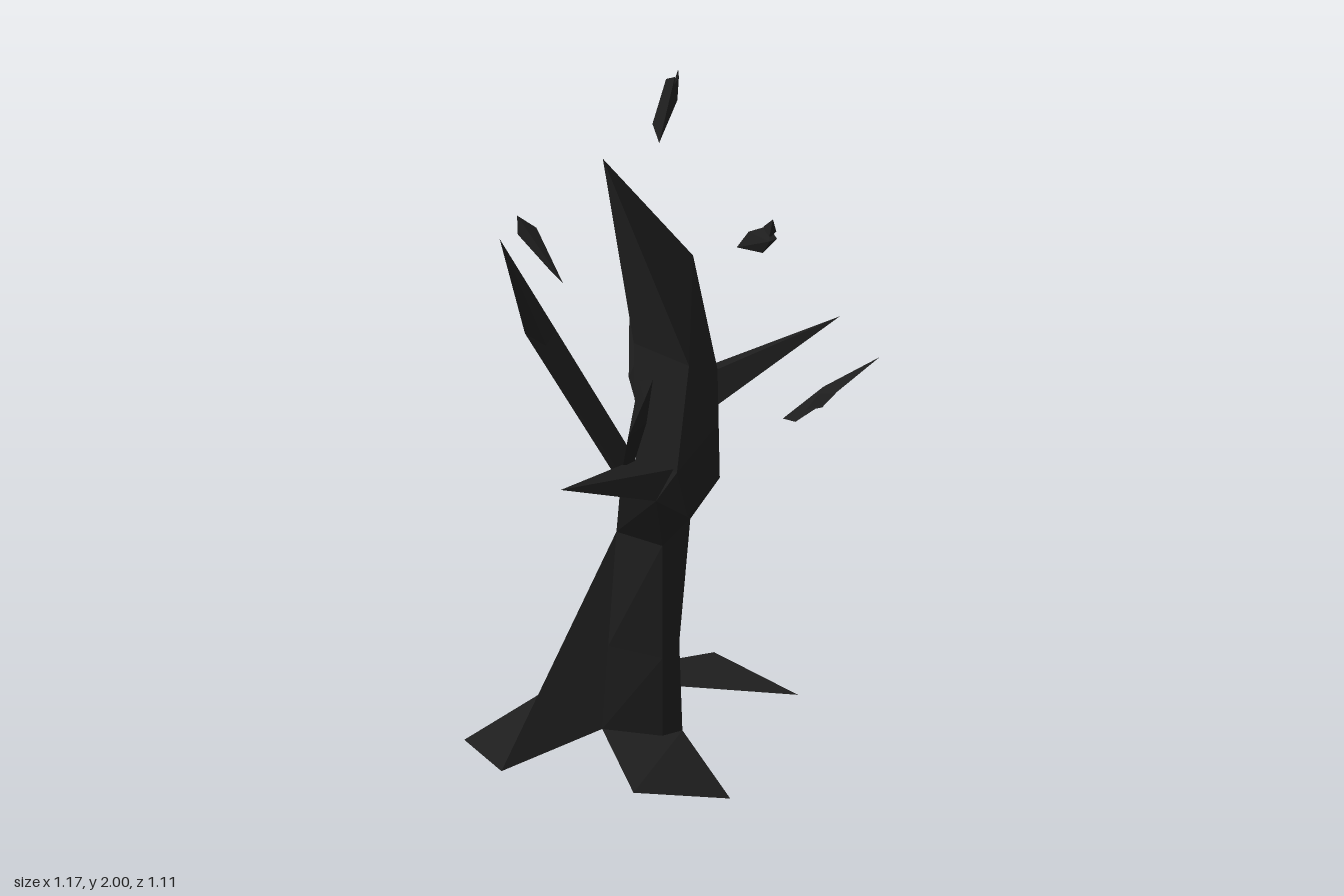
import * as THREE from 'three';
import { ConvexGeometry } from 'three/addons/geometries/ConvexGeometry.js';

const bark = new THREE.MeshStandardMaterial({ color: 0x1e1e1e, side: THREE.DoubleSide });
bark.name = 'charred bark';

const vec = (p) => new THREE.Vector3(...p);

// Faceted solid around a handful of corner points
function hull(name, ...points) {
  const mesh = new THREE.Mesh(new ConvexGeometry(points.map(vec)), bark);
  mesh.name = name;
  return mesh;
}

// Faceted surface made of fans: each face is a list of corners, outward side counter-clockwise
function facets(name, ...faces) {
  const pos = [];
  for (const f of faces) {
    for (let i = 1; i < f.length - 1; i++) pos.push(...f[0], ...f[i], ...f[i + 1]);
  }
  const geo = new THREE.BufferGeometry();
  geo.setAttribute('position', new THREE.Float32BufferAttribute(pos, 3));
  geo.computeVertexNormals();
  const mesh = new THREE.Mesh(geo, bark);
  mesh.name = name;
  return mesh;
}

// Side faces between two rings, both counter-clockwise from above
function band(lower, upper) {
  return lower.map((p, i) => {
    const j = (i + 1) % lower.length;
    return [p, lower[j], upper[j], upper[i]];
  });
}

export function createModel() {
  const tree = new THREE.Group();
  tree.name = 'deadTree';

  // Trunk rings: left, front left, front right, right, back right, back left
  const base = [
    [-0.37, 0.16, -0.10], [-0.14, 0.15, 0.135], [0.01, 0.12, 0.06],
    [0.04, 0.13, 0.0], [-0.12, 0.15, -0.19], [-0.22, 0.18, -0.205],
  ];
  const neck = [
    [-0.14, 0.78, 0.0], [-0.125, 0.74, 0.08], [0.02, 0.73, 0.08],
    [0.065, 0.79, 0.0], [0.03, 0.85, -0.08], [-0.08, 0.88, -0.075],
  ];
  // The right edge bends inwards at mid height, the others run straight
  const mid = base.map((p, i) => vec(p).lerp(vec(neck[i]), 0.42).toArray());
  mid[3] = [0.03, 0.4, 0.0];

  // The left side of the trunk flares straight out into the side root
  const rootLow = [-0.59, 0.0, 0.11], rootFront = [-0.385, 0.02, 0.27];
  tree.add(facets('trunk', ...band(base, mid).slice(1), ...band(mid, neck).slice(1),
    [base[0], neck[1], neck[0]], [base[0], rootFront, neck[1]], [rootFront, base[1], neck[1]],
    [...base].reverse()));
  tree.add(facets('sideRoot', [base[0], rootLow, rootFront], [base[0], base[1], rootFront, rootLow]));

  // Flat roots
  tree.add(hull('frontRoot', base[1], base[3], [0.265, 0.03, 0.135], [0.09, 0.11, 0.375]));
  tree.add(hull('backRoot', base[4], base[5], [-0.07, 0.18, -0.385], [0.215, 0.13, -0.35]));
  tree.add(hull('backSpikeRoot', base[0], base[5], [-0.53, 0.13, -0.56], [-0.24, 0.15, -0.15]));

  // Fork: the neck swells and splits to the front and the back
  const forkL = [-0.08, 0.96, 0.05], forkR = [0.05, 0.95, 0.05];
  const chin = [0.06, 0.925, 0.19], cheek = [-0.06, 0.97, 0.17];
  const hip = [0.12, 0.9, -0.07], backR = [0.04, 0.93, -0.1], backL = [-0.1, 0.92, -0.07];
  tree.add(hull('frontFork', neck[0], neck[1], neck[2], neck[3], forkL, forkR, chin, cheek));
  tree.add(hull('backFork', ...neck, forkL, forkR, hip, backR, backL));

  // Front spike
  tree.add(hull('frontSpike', [-0.045, 1.09, 0.55], chin, [-0.045, 0.99, 0.08], [0.05, 0.97, 0.07]));

  // Tall front branch
  const kneeOut = [-0.297, 1.405, 0.295], kneeIn = [-0.275, 1.36, 0.155], kneeSide = [-0.26, 1.3, 0.21];
  tree.add(hull('tallBranchLower', kneeOut, kneeIn, kneeSide, cheek, forkL, [-0.11, 0.9, 0.09]));
  tree.add(hull('tallBranchTip', kneeOut, kneeIn, kneeSide, [-0.317, 1.74, 0.405]));

  // Short twig rising from the fork beside the tall branch
  const twigOut = [0.01, 1.14, 0.26], twigIn = [0.0, 1.1, 0.22], twigSide = [0.06, 1.19, 0.245];
  tree.add(hull('twigLower', twigOut, twigIn, twigSide, cheek, [-0.04, 1.0, 0.13]));
  tree.add(hull('twigTip', twigOut, twigIn, twigSide, [0.1, 1.35, 0.28], [0.05, 1.33, 0.27],
    [0.075, 1.28, 0.285]));

  // Main stem above the fork: front left, front right, right, back, left
  const stemLow = [forkL, forkR, hip, backR, backL];
  const stemHigh = [
    [-0.125, 1.28, -0.02], [0.05, 1.25, -0.02], [0.08, 1.2, -0.13],
    [-0.01, 1.22, -0.18], [-0.12, 1.27, -0.08],
  ];
  const [hA, hB, hC, hD, hE] = stemHigh;
  tree.add(facets('stem', ...band(stemLow, stemHigh)));
  tree.add(hull('stemBulge', hip, hC, [0.11, 1.06, -0.08], hB, forkR, hD));

  // Thin blade crowning the stem
  const tip = [-0.22, 1.83, -0.015], shoulder = [-0.03, 1.5, -0.19];
  tree.add(facets('stemBlade', [hA, hB, tip], [hB, shoulder, tip], [shoulder, hA, tip],
    [hB, hC, shoulder], [hC, hD, shoulder], [hD, hE, shoulder], [hE, hA, shoulder]));

  // Right-hand spike
  tree.add(hull('sideSpike', [0.355, 1.34, -0.335], hC, [0.09, 1.1, -0.11], [-0.02, 1.15, -0.18]));

  // Back branch with two points
  const nodeOut = [-0.275, 1.25, -0.27], nodeTop = [-0.12, 1.31, -0.24];
  const nodeLow = [-0.18, 1.2, -0.29], nodeUp = [-0.27, 1.31, -0.29];
  tree.add(hull('backBranch', nodeOut, nodeTop, nodeLow, backL,
    [-0.19, 1.12, -0.11], hE, [-0.02, 1.06, -0.14]));
  tree.add(hull('backBranchUpperTip', [-0.30, 1.465, -0.37], nodeOut, nodeTop, nodeLow));
  tree.add(hull('backBranchLongTip', [-0.385, 1.25, -0.51], nodeOut, nodeUp, nodeLow));

  // Floating bark shards
  tree.add(hull('topShard', [-0.145, 1.98, -0.295], [-0.17, 1.97, -0.29], [-0.175, 1.86, -0.22],
    [-0.14, 1.82, -0.195], [-0.137, 1.91, -0.295]));
  tree.add(hull('topShardBarb', [-0.14, 2.0, -0.305], [-0.15, 1.94, -0.28], [-0.137, 1.91, -0.295],
    [-0.135, 1.98, -0.3]));
  tree.add(hull('rightShard', [0.13, 1.58, -0.15], [0.17, 1.64, -0.145], [0.25, 1.69, -0.115],
    [0.29, 1.67, -0.09], [0.24, 1.61, -0.1], [0.28, 1.67, -0.065]));
  tree.add(hull('rightShardBarb', [0.28, 1.73, -0.085], [0.23, 1.68, -0.12], [0.27, 1.67, -0.08],
    [0.285, 1.69, -0.095]));
  tree.add(hull('leftShard', [-0.565, 1.515, -0.15], [-0.52, 1.475, -0.18], [-0.395, 1.365, -0.105],
    [-0.46, 1.38, -0.14], [-0.56, 1.46, -0.145]));
  tree.add(hull('longShard', [0.585, 1.35, -0.145], [0.42, 1.23, -0.12], [0.3, 1.11, -0.105],
    [0.37, 1.14, -0.05], [0.45, 1.21, -0.045]));
  tree.add(hull('longShardBarb', [0.39, 1.17, -0.07], [0.44, 1.24, -0.06], [0.49, 1.25, -0.065],
    [0.46, 1.21, -0.04]));

  return tree;
}
